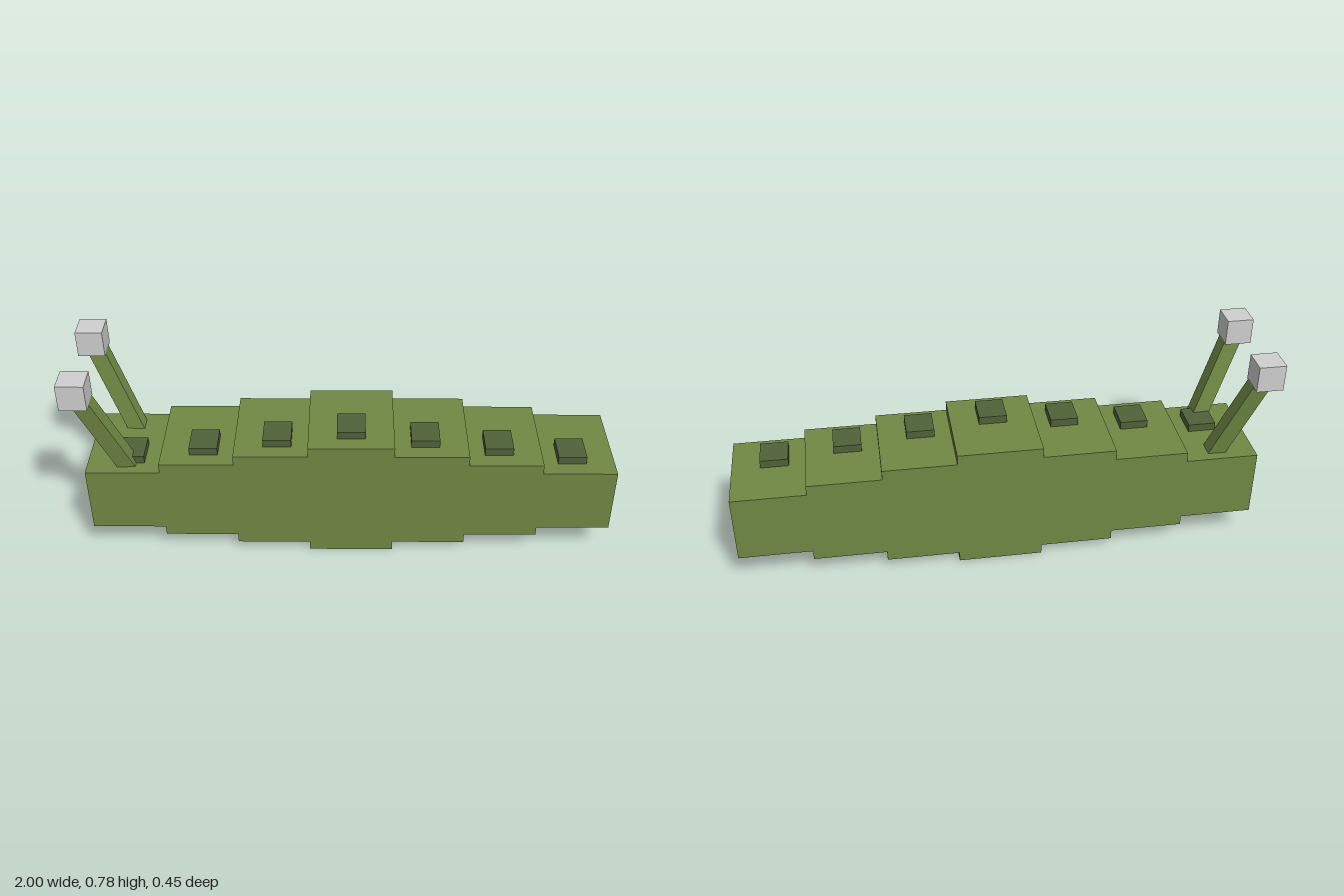
import * as THREE from 'three';

export function createModel() {
  const model = new THREE.Group();
  model.name = 'caterpillar';

  const material = (name, color) => {
    const m = new THREE.MeshStandardMaterial({ color });
    m.name = name;
    return m;
  };
  const green = material('leafGreen', 0x708944);
  const darkGreen = material('darkGreen', 0x4f6339);
  const grey = material('lightGrey', 0xd0d0d0);

  const box = (name, size, position, mat) => {
    const mesh = new THREE.Mesh(new THREE.BoxGeometry(...size), mat);
    mesh.name = name;
    mesh.position.set(...position);
    model.add(mesh);
    return mesh;
  };

  // Seven overlapping body segments, tallest in the middle, each with a raised spot
  const midY = 0.243;
  for (let i = -3; i <= 3; i++) {
    const x = 0.02 + i * 0.2735;
    const height = 0.486 - Math.abs(i) * 0.0755;
    box('bodySegment', [0.317, height, 0.374], [x, midY, 0], green);
    box('backSpot', [0.105, 0.06, 0.118], [x, midY + height / 2, 0.067], darkGreen);
  }

  // Two feelers leaning forward and outward, rooted in the head segment
  const length = 0.43;
  for (const side of [1, -1]) {
    const tip = new THREE.Vector3(-0.95, 0.73, 0.177 * side);
    const stalk = box('feelerStalk', [0.062, length, 0.06], [0, 0, 0], green);
    stalk.rotation.set(0.148 * side, 0, 0.368, 'ZYX');
    const axis = new THREE.Vector3(0, 1, 0).applyEuler(stalk.rotation);
    stalk.position.copy(tip).addScaledVector(axis, -length / 2);
    box('feelerTip', [0.1, 0.1, 0.1], tip.toArray(), grey);
  }

  return model;
}
